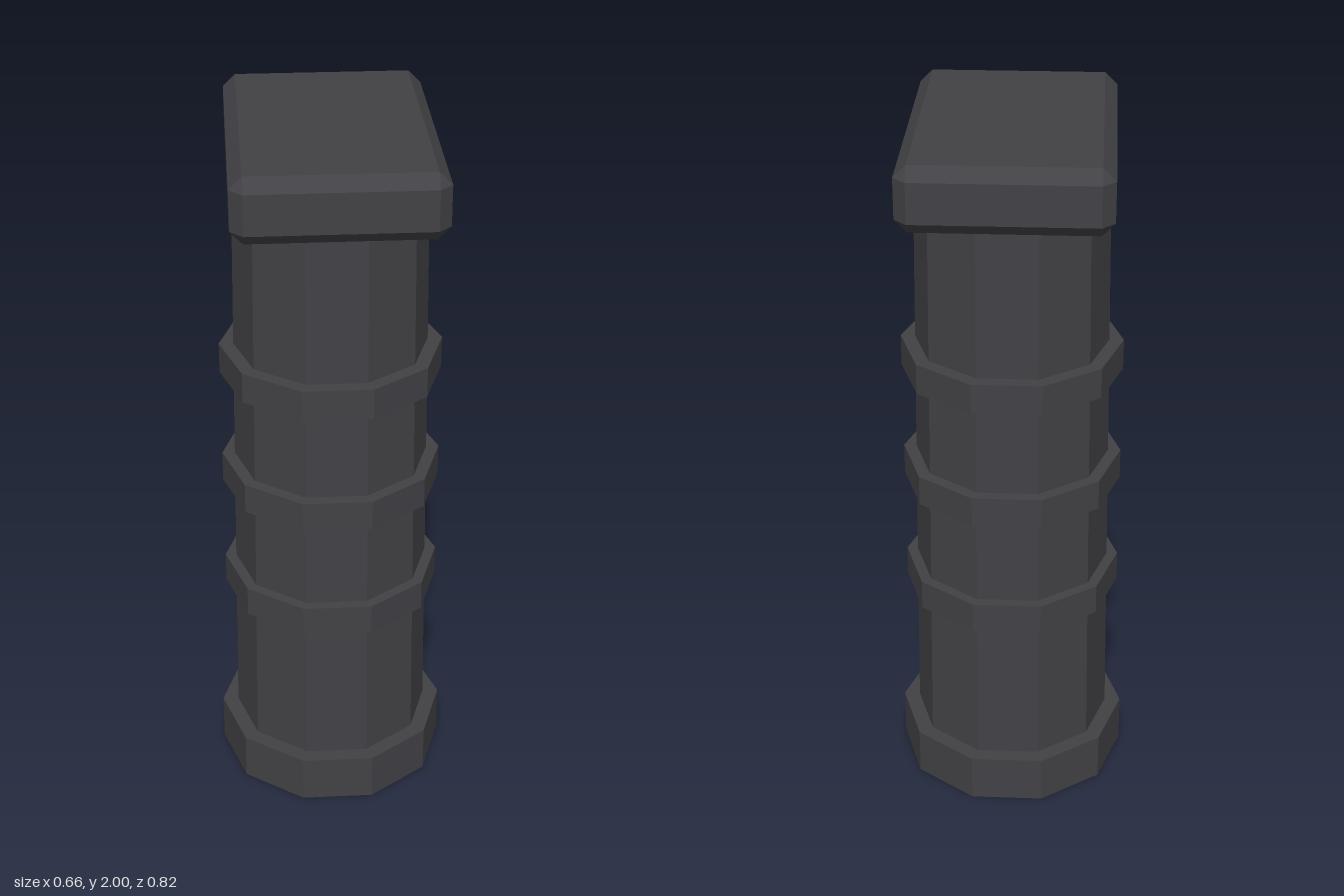
import * as THREE from 'three';
import { ConvexGeometry } from 'three/addons/geometries/ConvexGeometry.js';

const SIDES = 10;

export function createModel() {
  const model = new THREE.Group();
  model.name = 'grip';
  const darkPolymer = new THREE.MeshStandardMaterial({ color: 0x424145, flatShading: true });
  darkPolymer.name = 'dark grey';

  function add(name, geometry) {
    const mesh = new THREE.Mesh(geometry, darkPolymer);
    mesh.name = name;
    model.add(mesh);
  }

  // Ten-sided drum with corners on the x axis, spanning y0 to y1
  function drum(name, y0, y1, bottomRadius, topRadius = bottomRadius) {
    const geometry = new THREE.CylinderGeometry(topRadius, bottomRadius, y1 - y0, SIDES);
    geometry.rotateY(Math.PI / 2);
    geometry.translate(0, (y0 + y1) / 2, 0);
    add(name, geometry);
  }

  // Box with every edge cut at 45 degrees
  function chamferedBox(hx, hy, hz, c) {
    const points = [];
    for (const sx of [-1, 1]) for (const sy of [-1, 1]) for (const sz of [-1, 1]) {
      points.push(
        new THREE.Vector3(sx * hx, sy * (hy - c), sz * (hz - c)),
        new THREE.Vector3(sx * (hx - c), sy * hy, sz * (hz - c)),
        new THREE.Vector3(sx * (hx - c), sy * (hy - c), sz * hz)
      );
    }
    return new ConvexGeometry(points);
  }

  // Foot and tapered handle
  drum('footCap', 0, 0.14, 0.331);
  drum('handle', 0.13, 1.832, 0.285, 0.263);

  // Raised grip rings
  [0.625, 0.971, 1.318].forEach((y, i) => drum(`gripRing${i + 1}`, y - 0.044, y + 0.044, 0.309));

  // Mounting block on top
  const block = chamferedBox(0.274, 0.0885, 0.412, 0.034);
  block.translate(0, 1.9115, 0);
  add('mountBlock', block);

  return model;
}
